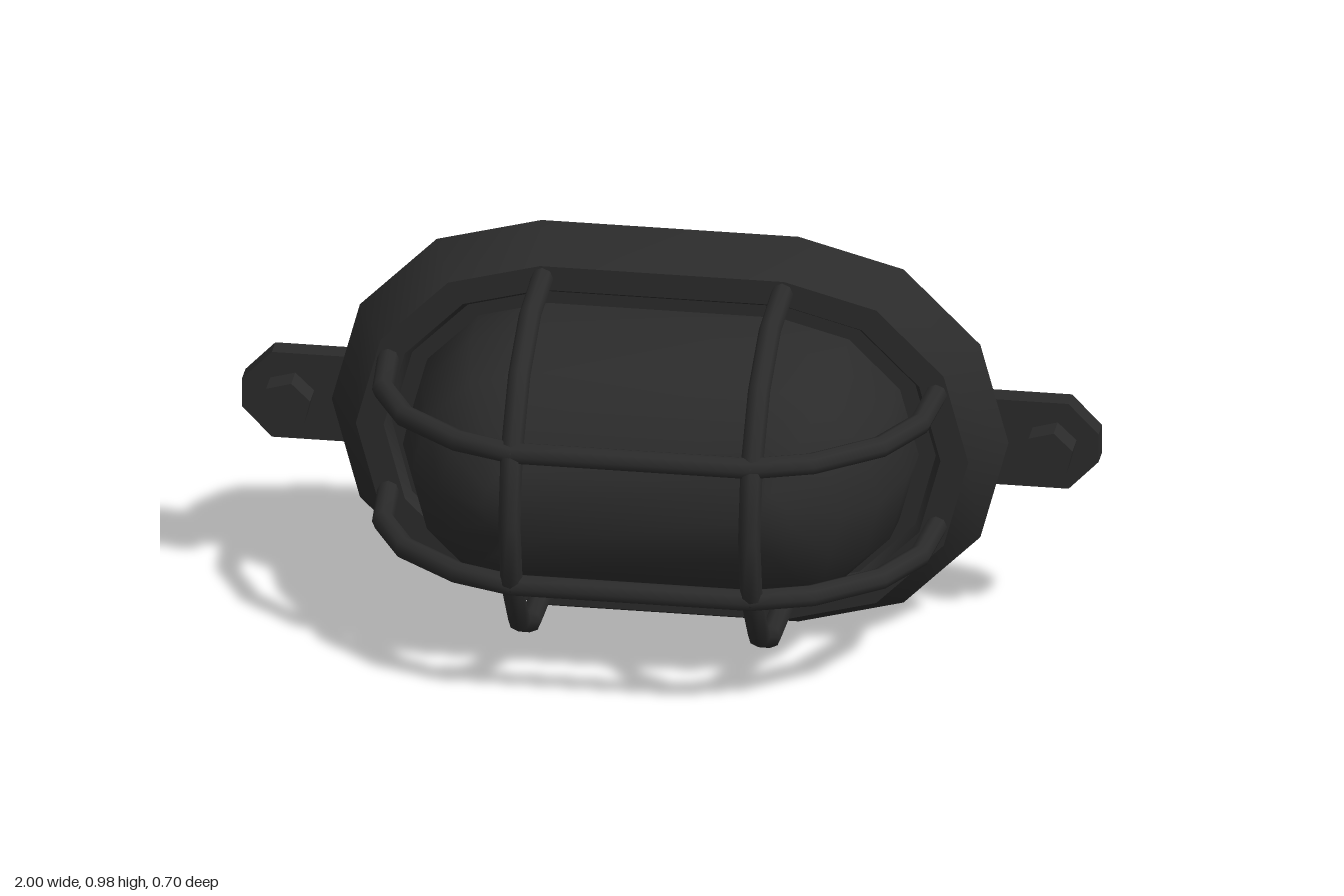
import * as THREE from 'three';
import { toCreasedNormals } from 'three/addons/utils/BufferGeometryUtils.js';

const CY = 0.49; // height of the lamp axis

// Sheet through closed rings of [x, y, z] points, all of the same length
function loft(rings) {
  const index = [], n = rings[0].length;
  for (let k = 0; k < rings.length - 1; k++) {
    for (let j = 0; j < n; j++) {
      const a = k * n + j, b = k * n + (j + 1) % n;
      index.push(a, b, b + n, a, b + n, a + n);
    }
  }
  const g = new THREE.BufferGeometry();
  g.setAttribute('position', new THREE.Float32BufferAttribute(rings.flat(2), 3));
  g.setIndex(index);
  g.computeVertexNormals();
  return g;
}

// Stadium outline: half length of the straight side, end radius, depth
function stadium([s, r, z]) {
  const ring = [], steps = 6;
  for (const side of [1, -1]) {
    for (let i = 0; i <= steps; i++) {
      const a = -Math.PI / 2 + (i / steps) * Math.PI;
      ring.push([side * (s + r * Math.cos(a)), side * r * Math.sin(a), z]);
    }
  }
  return ring;
}

// Straight-segment path, with each point at an even parameter step
class Polyline extends THREE.Curve {
  constructor(points) {
    super();
    this.points = points;
  }
  getUtoTmapping(u) {
    return u;
  }
  getPoint(t, target = new THREE.Vector3()) {
    const last = this.points.length - 1;
    const f = Math.min(Math.max(t, 0), 1) * last;
    const i = Math.min(Math.floor(f), last - 1);
    return target.lerpVectors(this.points[i], this.points[i + 1], f - i);
  }
}

// Bent cage rod: half profile [offset, z] mirrored about the middle
function rodGeometry(half, middle, toPoint) {
  const mirrored = half.map(([d, z]) => [-d, z]).reverse();
  const pts = [...half, ...middle, ...mirrored].map(([d, z]) => toPoint(d, z));
  return new THREE.TubeGeometry(new Polyline(pts), pts.length - 1, 0.026, 8, false);
}

export function createModel() {
  const group = new THREE.Group();
  const black = new THREE.MeshStandardMaterial({ color: 0x2b2b2b, side: THREE.DoubleSide });
  black.name = 'black';

  const add = (name, geometry, x = 0, y = CY, z = 0) => {
    const mesh = new THREE.Mesh(geometry, black);
    mesh.name = name;
    mesh.position.set(x, y, z);
    group.add(mesh);
  };

  // Bevelled housing shell, open at the back, with a groove around the lens
  add('housing', toCreasedNormals(loft([
    [0.30, 0.445, -0.35],
    [0.30, 0.49, -0.295],
    [0.285, 0.43, -0.173],
    [0.28, 0.37, -0.173],
    [0.28, 0.355, -0.20],
    [0.27, 0.325, -0.20],
  ].map(stadium)), 0.6));

  // Hollow rounded lens
  add('dome', loft([
    [0.27, 0.325, -0.20],
    [0.27, 0.325, -0.17],
    [0.27, 0.32, -0.075],
    [0.27, 0.277, 0.08],
    [0.27, 0.20, 0.16],
    [0.27, 0.09, 0.229],
    [0.27, 0, 0.229],
  ].map(stadium)));

  // Protective cage
  const upright = [[0.40, -0.18], [0.39, 0.01], [0.313, 0.172], [0.165, 0.289]];
  const crosswise = [[0.64, -0.18], [0.626, -0.01], [0.555, 0.127], [0.413, 0.242], [0.28, 0.289]];
  for (const s of [1, -1]) {
    add('verticalCageRod', rodGeometry(upright, [[0, 0.324]],
      (d, z) => new THREE.Vector3(s * 0.28, d, z)));
    add('horizontalCageRod', rodGeometry(crosswise, [],
      (d, z) => new THREE.Vector3(d, s * 0.168, z)));
  }

  // Mounting strap: a shallow tray with chamfered ends, open at the back
  const outline = [
    [-0.93, -0.108], [0.93, -0.108], [1, -0.035], [1, 0.035],
    [0.93, 0.108], [-0.93, 0.108], [-1, 0.035], [-1, -0.035],
  ];
  add('mountingStrap', toCreasedNormals(loft([
    outline.map(([x, y]) => [x, y, -0.35]),
    outline.map(([x, y]) => [x, y, -0.297]),
    outline.map(([x]) => [x, 0, -0.297]),
  ]), 0.3));

  // Hexagonal bolts on the strap ends
  for (const s of [1, -1]) {
    const bolt = new THREE.CylinderGeometry(0.061, 0.061, 0.065, 6);
    bolt.rotateY(Math.PI / 2).rotateX(Math.PI / 2).rotateZ(0.28);
    add('bolt', toCreasedNormals(bolt, 0.3), s * 0.89, CY, -0.2675);
  }

  return group;
}
